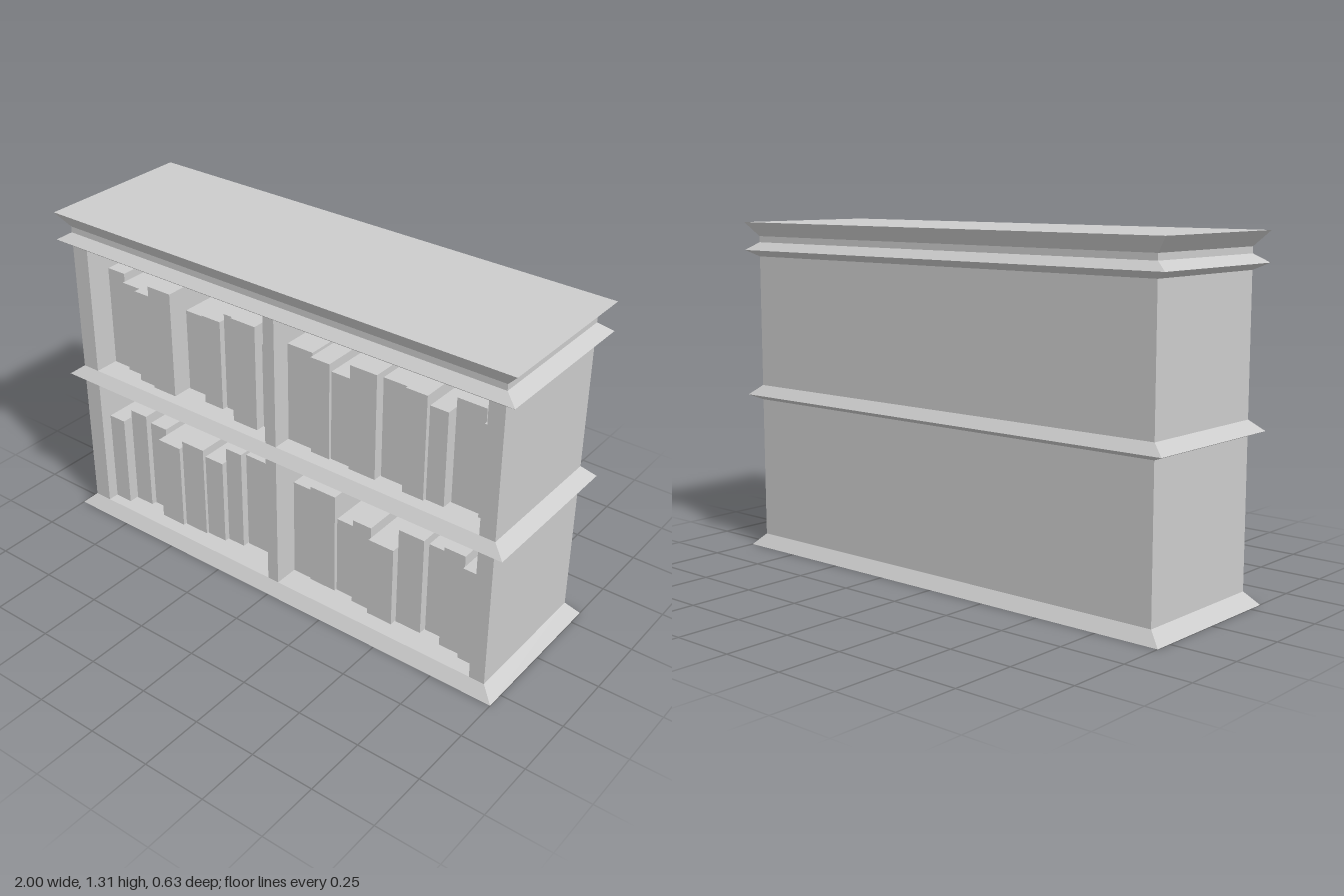
import * as THREE from 'three';

const material = new THREE.MeshStandardMaterial({ color: 0xcccccc, flatShading: true });

// Body and moulding-lip half sizes
const BODY = [0.95, 0.283], LIP = [1, 0.317];
const BACK = -0.2; // inner face of the back panel

// Rectangular moulding lofted through [y, flare] steps, flare 0 = body, 1 = lip
function moulding(name, steps) {
  const pos = [], idx = [];
  for (const [y, f] of steps) {
    const x = BODY[0] + (LIP[0] - BODY[0]) * f, z = BODY[1] + (LIP[1] - BODY[1]) * f;
    pos.push(-x, y, z, x, y, z, x, y, -z, -x, y, -z);
  }
  for (let i = 0; i < steps.length - 1; i++) {
    for (let k = 0; k < 4; k++) {
      const a = i * 4 + k, b = i * 4 + (k + 1) % 4;
      idx.push(a, b, b + 4, a, b + 4, a + 4);
    }
  }
  const t = (steps.length - 1) * 4;
  idx.push(0, 2, 1, 0, 3, 2, t, t + 1, t + 2, t, t + 2, t + 3);
  const indexed = new THREE.BufferGeometry();
  indexed.setAttribute('position', new THREE.Float32BufferAttribute(pos, 3));
  indexed.setIndex(idx);
  const geo = indexed.toNonIndexed();
  geo.computeVertexNormals();
  const mesh = new THREE.Mesh(geo, material);
  mesh.name = name;
  return mesh;
}

// Box given by its limits on each axis
function block(name, x0, x1, y0, y1, z0, z1) {
  const mesh = new THREE.Mesh(new THREE.BoxGeometry(x1 - x0, y1 - y0, z1 - z0), material);
  mesh.position.set((x0 + x1) / 2, (y0 + y1) / 2, (z0 + z1) / 2);
  mesh.name = name;
  return mesh;
}

// Row of books, each [left edge, top, front]; the next left edge ends the book
function bookRow(name, floor, end, books) {
  const row = new THREE.Group();
  row.name = name;
  books.forEach(([x, top, front], i) => {
    const next = i + 1 < books.length ? books[i + 1][0] : end;
    row.add(block('book', x + 0.002, next - 0.002, floor, top, BACK, front));
  });
  return row;
}

export function createModel() {
  const model = new THREE.Group();
  model.name = 'bookcase';

  // Base, middle shelf and cornice
  model.add(
    moulding('base', [[0, 1], [0.047, 0]]),
    moulding('middleShelf', [[0.603, 0], [0.622, 1], [0.661, 0]]),
    moulding('cornice', [[1.177, 0], [1.202, 1], [1.233, 0], [1.257, 0], [1.312, 1]])
  );

  // Upright panels of both tiers
  for (const [tier, y0, y1] of [['lower', 0.047, 0.603], ['upper', 0.661, 1.177]]) {
    model.add(
      block(tier + 'RightSide', -BODY[0], -0.877, y0, y1, -BODY[1], BODY[1]),
      block(tier + 'LeftSide', 0.888, BODY[0], y0, y1, -BODY[1], BODY[1]),
      block(tier + 'Divider', -0.023, 0.025, y0, y1, BACK, BODY[1]),
      block(tier + 'Back', -0.877, 0.888, y0, y1, -BODY[1], BACK)
    );
  }

  // Books in the four bays
  model.add(
    bookRow('upperRightBooks', 0.661, -0.023, [
      [-0.877, 1.07, 0.184], [-0.789, 1.04, 0.198], [-0.695, 1.045, 0.23],
      [-0.615, 1.093, 0.24], [-0.502, 0.997, 0.16], [-0.387, 1.029, 0.2],
      [-0.296, 1.056, 0.18], [-0.216, 1.088, 0.235], [-0.1, 1.007, 0.2]
    ]),
    bookRow('upperLeftBooks', 0.661, 0.888, [
      [0.025, 1.056, 0.21], [0.14, 1.048, 0.227], [0.226, 1.018, 0.22],
      [0.314, 1.08, 0.233], [0.43, 1.059, 0.2], [0.542, 1.075, 0.233],
      [0.633, 1.035, 0.222], [0.71, 1.075, 0.182], [0.829, 1.029, 0.2]
    ]),
    bookRow('lowerRightBooks', 0.047, -0.023, [
      [-0.877, 0.435, 0.24], [-0.797, 0.47, 0.2], [-0.711, 0.433, 0.18],
      [-0.625, 0.411, 0.227], [-0.51, 0.441, 0.214], [-0.398, 0.411, 0.205],
      [-0.307, 0.475, 0.186], [-0.227, 0.465, 0.16], [-0.112, 0.414, 0.177]
    ]),
    bookRow('lowerLeftBooks', 0.047, 0.888, [
      [0.025, 0.457, 0.184], [0.108, 0.475, 0.19], [0.226, 0.376, 0.18],
      [0.312, 0.419, 0.2], [0.397, 0.382, 0.22], [0.51, 0.462, 0.195],
      [0.622, 0.435, 0.167], [0.708, 0.483, 0.205], [0.799, 0.446, 0.223]
    ])
  );
  return model;
}
